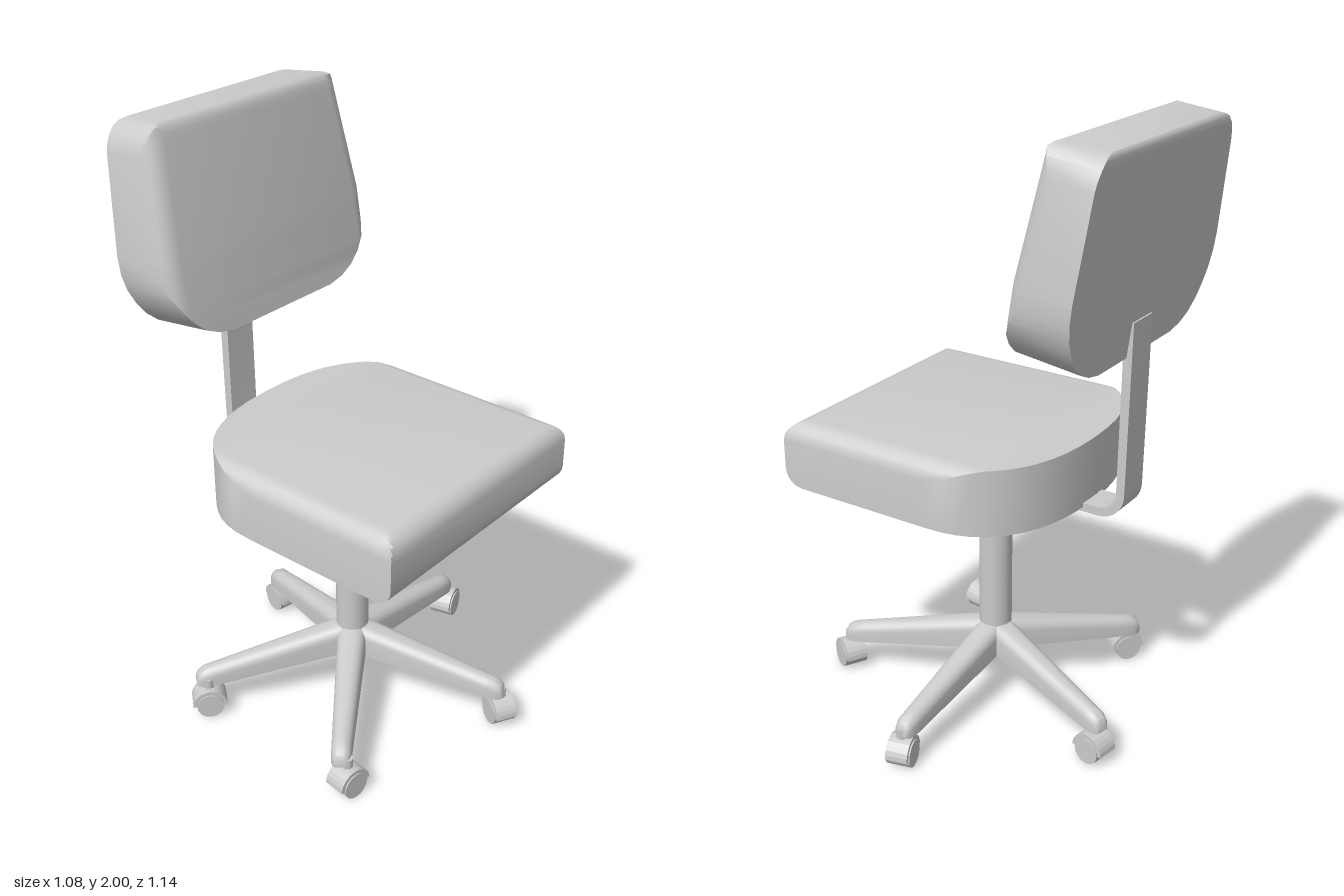
import * as THREE from 'three';
import { toCreasedNormals } from 'three/addons/utils/BufferGeometryUtils.js';

const CX = -0.06; // axis of the chair
const ARC = 5;    // steps in a rounded edge

// Loft along z. Each section: z, half width w, bottom b, top t;
// W and T are the uncut half width and top that carry the rounded side edges.
function slab(sections, r) {
  const pos = [], idx = [], n = 2 * (ARC + 2);
  for (const { z, w, b, t, W = w, T = t } of sections) {
    const R = Math.min(r, W), right = [[w, b]];
    for (let k = ARC; k >= 0; k--) {
      const x = Math.min(w, W - R + R * Math.sin((k / ARC) * Math.PI / 2));
      const d = Math.max(0, x - (W - R));
      right.push([x, Math.min(t, T - R + Math.sqrt(Math.max(0, R * R - d * d)))]);
    }
    const left = right.map(([x, y]) => [-x, y]).reverse();
    for (const [x, y] of [...right, ...left]) pos.push(x, y, z);
  }
  const last = (sections.length - 1) * n;
  for (let i = 0; i < last; i += n) {
    for (let j = 0; j < n; j++) {
      const k = (j + 1) % n;
      idx.push(i + j, i + k, i + n + j, i + k, i + n + k, i + n + j);
    }
  }
  for (let j = 1; j < n - 1; j++) {
    idx.push(0, j + 1, j, last, last + j, last + j + 1);
  }
  const g = new THREE.BufferGeometry();
  g.setAttribute('position', new THREE.Float32BufferAttribute(pos, 3));
  g.setIndex(idx);
  return toCreasedNormals(g, 0.6);
}

export function createModel() {
  const model = new THREE.Group();
  const mat = new THREE.MeshStandardMaterial({ color: 0xcccccc });
  const add = (name, geo, parent = model) => {
    const m = new THREE.Mesh(geo, mat);
    m.name = name;
    parent.add(m);
    return m;
  };

  // Seat: curved back outline, rounded sides and front edge
  const r = 0.06, seat = [];
  for (let k = 0; k <= 12; k++) {
    const a = (0.985 - 0.985 * k / 12) * Math.PI / 2;
    seat.push({
      z: -0.03 - 0.33 * Math.pow(Math.sin(a), 1 / 1.2),
      w: 0.44 * Math.pow(Math.cos(a), 1 / 1.2), W: 0.44, b: 0.815, t: 1.03,
    });
  }
  for (let k = 0; k <= ARC; k++) {
    const a = (k / ARC) * Math.PI / 2, drop = r * (1 - Math.cos(a));
    seat.push({ z: 0.45 + r * Math.sin(a), w: 0.44, b: 0.815 + drop, t: 1.03 - drop, T: 1.03 });
  }
  add('seat', slab(seat, r)).position.x = CX;

  // Backrest: outline as height, half width, listed from the top down
  const outline = [
    [0.655, 0.32], [0.65, 0.35], [0.64, 0.37], [0.62, 0.388], [0.595, 0.402], [0.565, 0.41],
    [0.27, 0.44], [0.21, 0.438], [0.16, 0.425], [0.11, 0.4], [0.07, 0.37],
    [0.035, 0.33], [0.012, 0.28], [0, 0.22],
  ];
  const back = outline.map(([u, w]) => {
    const T = u > 0.27 ? 0.208 - 0.028 * (u - 0.27) / 0.385 : 0.215 - 0.007 * u / 0.27;
    const e = Math.max(0, u - 0.625) / 0.03;
    const drop = 0.03 * (1 - Math.sqrt(Math.max(0, 1 - e * e)));
    const W = Math.max(w, u > 0.27 ? 0.44 - 0.03 * (u - 0.27) / 0.295 : 0.44);
    return { z: -u, w, W, b: drop * 0.4, t: T - drop, T };
  });
  const rest = add('backrest', slab(back, r));
  rest.rotation.x = Math.PI / 2 - 0.13;
  rest.position.set(CX, 1.33, -0.485);

  // Bent flat bar joining seat and backrest
  const bar = new THREE.Shape();
  bar.moveTo(-0.26, 0.8);
  bar.lineTo(-0.41, 0.8);
  bar.absarc(-0.41, 0.888, 0.088, -Math.PI / 2, -Math.PI, true);
  bar.lineTo(-0.505, 1.44);
  bar.lineTo(-0.475, 1.44);
  bar.lineTo(-0.47, 0.888);
  bar.absarc(-0.41, 0.888, 0.06, Math.PI, Math.PI * 1.5, false);
  bar.lineTo(-0.26, 0.828);
  const barGeo = new THREE.ExtrudeGeometry(bar, { depth: 0.115, bevelEnabled: false, curveSegments: 8 });
  barGeo.rotateY(-Math.PI / 2);
  add('backSupport', toCreasedNormals(barGeo, 0.6)).position.x = CX + 0.0575;

  // Central column
  add('column', new THREE.CylinderGeometry(0.055, 0.055, 0.68, 20)).position.set(CX, 0.48, 0);

  // Five tapering legs
  const legGeo = slab([
    { z: 0, w: 0.05, b: 0.175, t: 0.28 },
    { z: 0.48, w: 0.033, b: 0.108, t: 0.176 },
    { z: 0.515, w: 0.032, b: 0.105, t: 0.168 },
    { z: 0.535, w: 0.026, b: 0.106, t: 0.154 },
    { z: 0.543, w: 0.018, b: 0.11, t: 0.135 },
  ], 0.036);
  for (let i = 0; i < 5; i++) {
    const leg = add('leg', legGeo);
    leg.position.x = CX;
    leg.rotation.y = Math.PI / 2 - i * Math.PI * 0.4;
  }

  // Casters: x, z and heading in degrees
  const cover = new THREE.Shape();
  cover.absarc(0, 0, 0.058, 0, Math.PI, false);
  const hoodGeo = new THREE.ExtrudeGeometry(cover, { depth: 0.074, bevelEnabled: false, curveSegments: 6 });
  hoodGeo.translate(0, 0, -0.037);
  const wheelGeo = new THREE.CylinderGeometry(0.045, 0.045, 0.082, 16);
  wheelGeo.rotateX(Math.PI / 2);
  const stemGeo = new THREE.CylinderGeometry(0.018, 0.018, 0.06, 10);
  const casters = [
    [0.47, 0.005, -15], [0.108, 0.502, 118], [-0.472, 0.325, 8],
    [-0.48, -0.28, 40], [0.11, -0.487, 100],
  ];
  for (const [x, z, deg] of casters) {
    const caster = new THREE.Group();
    caster.name = 'caster';
    caster.position.set(x, 0.045, z);
    caster.rotation.y = -THREE.MathUtils.degToRad(deg);
    add('casterHood', hoodGeo, caster);
    add('casterWheel', wheelGeo, caster);
    add('casterStem', stemGeo, caster).position.y = 0.06;
    model.add(caster);
  }
  return model;
}
